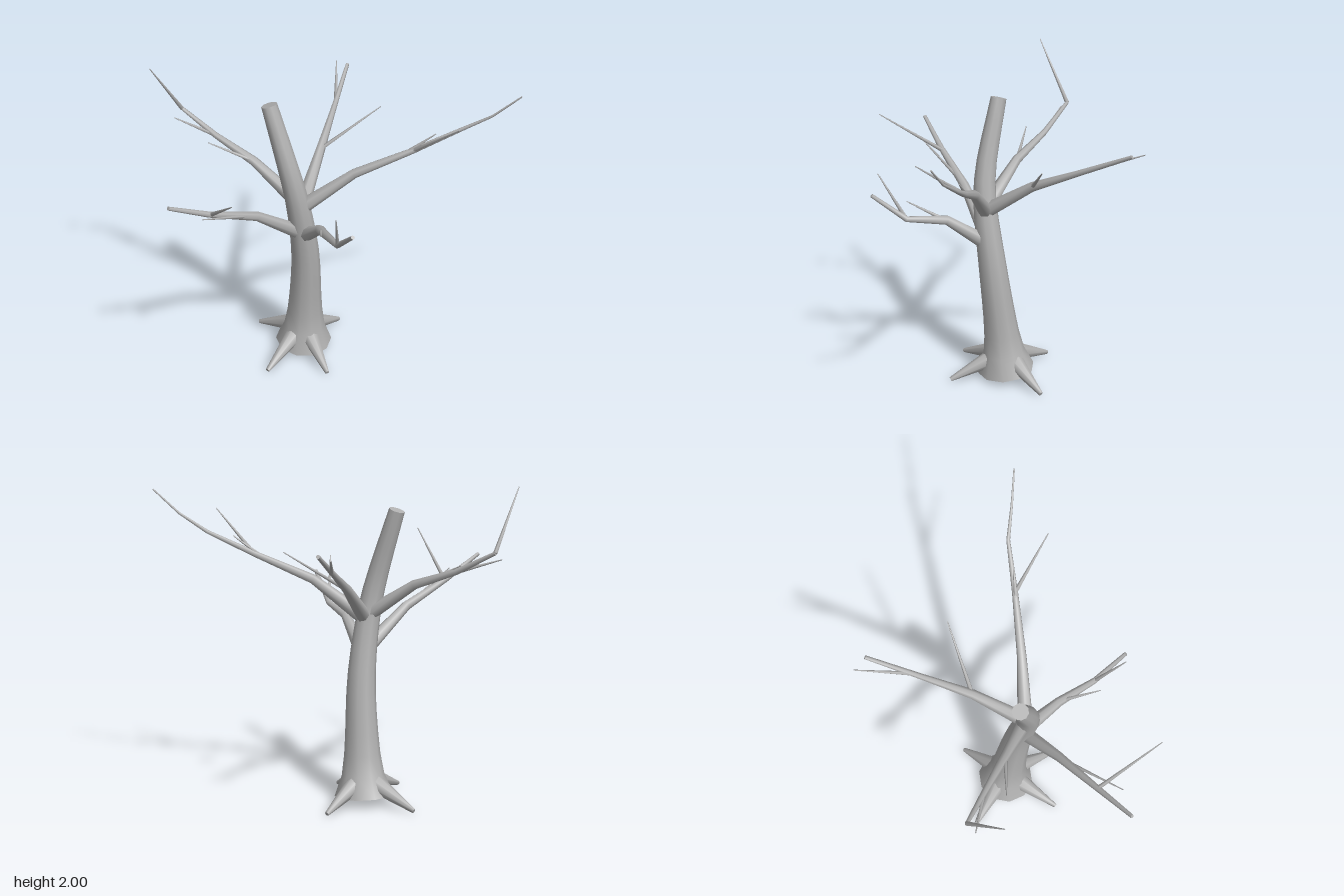
import * as THREE from 'three';

const bark = new THREE.MeshStandardMaterial({ color: 0xb0b0b0 });
bark.name = 'bark';

// Tapered limb along points, radius(i, point) at each, rings square to the path, flat caps
function limb(name, pts, radius, sides) {
  const pos = [], idx = [];
  const last = pts.length - 1;
  const u = new THREE.Vector3(0, 0, 1);
  const rings = pts.map((p, i) => {
    const before = p.clone().sub(pts[Math.max(i - 1, 0)]).normalize();
    const after = pts[Math.min(i + 1, last)].clone().sub(p).normalize();
    const t = before.add(after).normalize();
    if (i === 0 && Math.abs(t.z) > 0.8) u.set(0, 1, 0);
    u.addScaledVector(t, -u.dot(t)).normalize();
    const v = t.clone().cross(u);
    const r = radius(i, p);
    return Array.from({ length: sides }, (_, j) => {
      const a = (j / sides) * Math.PI * 2;
      return p.clone().addScaledVector(u, Math.cos(a) * r).addScaledVector(v, Math.sin(a) * r);
    });
  });
  rings.flat().forEach(p => pos.push(p.x, p.y, p.z));
  for (let i = 0; i < last; i++) {
    for (let j = 0; j < sides; j++) {
      const a = i * sides + j, b = i * sides + (j + 1) % sides;
      idx.push(a, b, a + sides, b, b + sides, a + sides);
    }
  }
  // caps on their own vertices so the rim stays sharp
  for (const end of [0, last]) {
    const c = pos.length / 3;
    [pts[end], ...rings[end]].forEach(p => pos.push(p.x, p.y, p.z));
    for (let j = 0; j < sides; j++) {
      const a = c + 1 + j, b = c + 1 + (j + 1) % sides;
      if (end) idx.push(c, a, b);
      else idx.push(c, b, a);
    }
  }
  const g = new THREE.BufferGeometry();
  g.setAttribute('position', new THREE.Float32BufferAttribute(pos, 3));
  g.setIndex(idx);
  g.computeVertexNormals();
  const mesh = new THREE.Mesh(g, bark);
  mesh.name = name;
  return mesh;
}

const vec = p => new THREE.Vector3(...p);

// Branch thinning at every joint; each twig is [place along the path in joints, tip]
function branch(name, path, twigs) {
  const group = new THREE.Group();
  group.name = name;
  const pts = path.map(vec);
  group.add(limb('bough', pts, i => 0.048 * 0.63 ** i, 7));
  for (const [at, tip] of twigs) {
    const k = Math.min(Math.floor(at), pts.length - 2);
    const from = pts[k].clone().lerp(pts[k + 1], at - k);
    group.add(limb('twig', [from, vec(tip)], i => (i ? 0.003 : 0.014), 5));
  }
  return group;
}

export function createModel() {
  const tree = new THREE.Group();
  tree.name = 'bareTree';

  // leaning trunk, flared at the ground and cut off at the top
  const foot = new THREE.Vector3(-0.132, 0.05, -0.08);
  const spine = new THREE.CatmullRomCurve3([
    foot, vec([-0.095, 0.4, -0.065]), vec([-0.055, 0.8, -0.033]),
    vec([-0.042, 1.2, 0.04]), vec([-0.066, 1.4, 0.078]), vec([-0.19, 1.84, 0.135]),
  ]);
  const girth = (i, p) => 0.118 - 0.037 * p.y + 0.069 * Math.exp((0.05 - p.y) / 0.12);
  tree.add(limb('trunk', spine.getSpacedPoints(14), girth, 10));

  // roots reaching out to the ground
  for (const [x, z] of [[-0.5, 0.01], [0.23, 0.01], [-0.03, 0.3], [-0.19, -0.43]]) {
    const tip = new THREE.Vector3(x, 0.016, z);
    const from = foot.clone().lerp(tip, 0.2).setY(0.145);
    tree.add(limb('root', [from, tip], i => (i ? 0.014 : 0.062), 8));
  }

  // branches
  tree.add(
    branch('lowLeftBranch',
      [[-0.01, 0.96, 0], [0.215, 1.13, 0.065], [0.46, 1.165, 0.13], [0.665, 1.345, 0.185]],
      [[2, [0.59, 1.45, 0.25]], [1.05, [0.415, 1.24, 0.22]]]),
    branch('lowFrontBranch',
      [[-0.045, 0.97, 0.02], [-0.06, 1.2, 0.34], [-0.072, 1.335, 0.68], [-0.088, 1.47, 0.95]],
      [[1.95, [0.32, 1.61, 0.785]], [1.1, [0.015, 1.38, 0.785]]]),
    branch('backLeftBranch',
      [[-0.02, 1.17, 0], [0.18, 1.405, -0.23], [0.4, 1.565, -0.51], [0.57, 1.705, -0.74],
        [0.71, 1.815, -0.85], [0.835, 1.96, -0.955]],
      [[2, [0.73, 1.82, -0.56]], [1.85, [0.485, 1.68, -0.61]]]),
    branch('backRightBranch',
      [[-0.04, 1.17, 0], [-0.2, 1.395, -0.27], [-0.36, 1.53, -0.5], [-0.56, 1.7, -0.785]],
      [[2.2, [-0.66, 1.69, -0.775]], [1, [-0.045, 1.645, -0.63]]]),
    branch('frontRightBranch',
      [[-0.06, 1.19, 0.03], [-0.335, 1.395, 0.15], [-0.6, 1.5, 0.25], [-0.825, 1.63, 0.345]],
      [[3, [-0.765, 2, 0.6]], [2, [-0.82, 1.585, 0.41]], [1, [-0.525, 1.515, 0.36]]]),
  );
  return tree;
}
